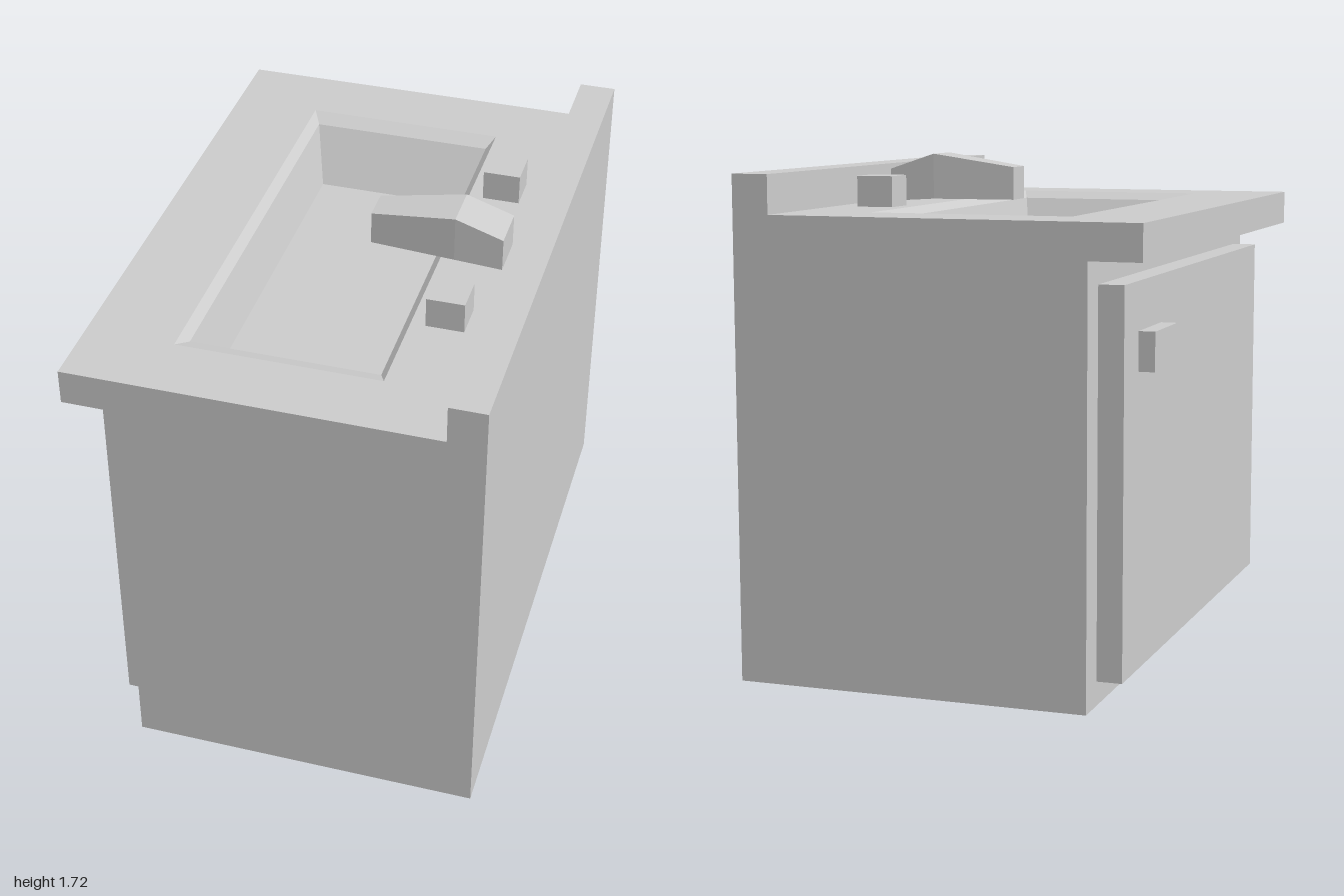
import * as THREE from 'three';

const material = new THREE.MeshStandardMaterial({ color: 0xcccccc, flatShading: true });

// Closed solid through four-cornered sections; corners run counterclockwise seen from the last section.
function loft(sections) {
  const positions = [];
  const tri = (...pts) => {
    const p = pts.map((c) => new THREE.Vector3(...c));
    if (new THREE.Triangle(...p).getArea() > 1e-6) pts.forEach((c) => positions.push(...c));
  };
  const quad = (a, b, c, d) => { tri(a, b, c); tri(a, c, d); };

  for (let s = 0; s < sections.length - 1; s++) {
    const a = sections[s], b = sections[s + 1];
    for (let i = 0; i < 4; i++) {
      const j = (i + 1) % 4;
      quad(a[i], a[j], b[j], b[i]);
    }
  }
  quad(...[...sections[0]].reverse());
  quad(...sections[sections.length - 1]);

  const geometry = new THREE.BufferGeometry();
  geometry.setAttribute('position', new THREE.Float32BufferAttribute(positions, 3));
  geometry.computeVertexNormals();
  return geometry;
}

// Horizontal rectangle at height y
const level = (y, x0, x1, z0, z1) => [[x0, y, z0], [x0, y, z1], [x1, y, z1], [x1, y, z0]];
// Upright rectangle at position x
const slice = (x, y0, y1, z0, z1) => [[x, y0, z0], [x, y1, z0], [x, y1, z1], [x, y0, z1]];

export function createModel() {
  const model = new THREE.Group();
  model.name = 'sinkCabinet';

  const add = (name, geometry) => {
    const mesh = new THREE.Mesh(geometry, material);
    mesh.name = name;
    model.add(mesh);
  };
  const addBox = (name, x0, x1, y0, y1, z0, z1) => {
    const geometry = new THREE.BoxGeometry(x1 - x0, y1 - y0, z1 - z0);
    geometry.translate((x0 + x1) / 2, (y0 + y1) / 2, (z0 + z1) / 2);
    add(name, geometry);
  };

  // Cabinet, overhanging counter and sunken basin as one continuous shell
  add('cabinetWithBasin', loft([
    level(0, -0.515, 0.685, -1, 1),
    level(1.43, -0.515, 0.685, -1, 1),
    level(1.43, -0.69, 0.685, -1, 1),
    level(1.55, -0.69, 0.685, -1, 1),
    level(1.55, -0.39, 0.30, -0.765, 0.765),
    level(1.525, -0.36, 0.275, -0.71, 0.705),
    level(1.345, -0.31, 0.222, -0.59, 0.585),
  ]));

  // Raised ledge along the wall side of the counter
  addBox('backsplash', 0.56, 0.685, 1.55, 1.68, -1, 1);

  // Door and its handle
  addBox('door', -0.60, -0.515, 0.08, 1.35, -0.89, 0.89);
  addBox('doorHandle', -0.655, -0.60, 1.06, 1.19, -0.73, -0.465);

  // Spout, tapering towards the basin
  add('spout', loft([
    slice(0.055, 1.56, 1.675, -0.07, 0.045),
    slice(0.35, 1.56, 1.72, -0.09, 0.07),
    slice(0.515, 1.55, 1.665, -0.09, 0.07),
  ]));

  // Taps on either side of the spout
  for (const [name, z] of [['rearTap', -0.41], ['frontTap', 0.383]]) {
    addBox(name, 0.35, 0.478, 1.55, 1.655, z - 0.064, z + 0.064);
  }

  return model;
}
